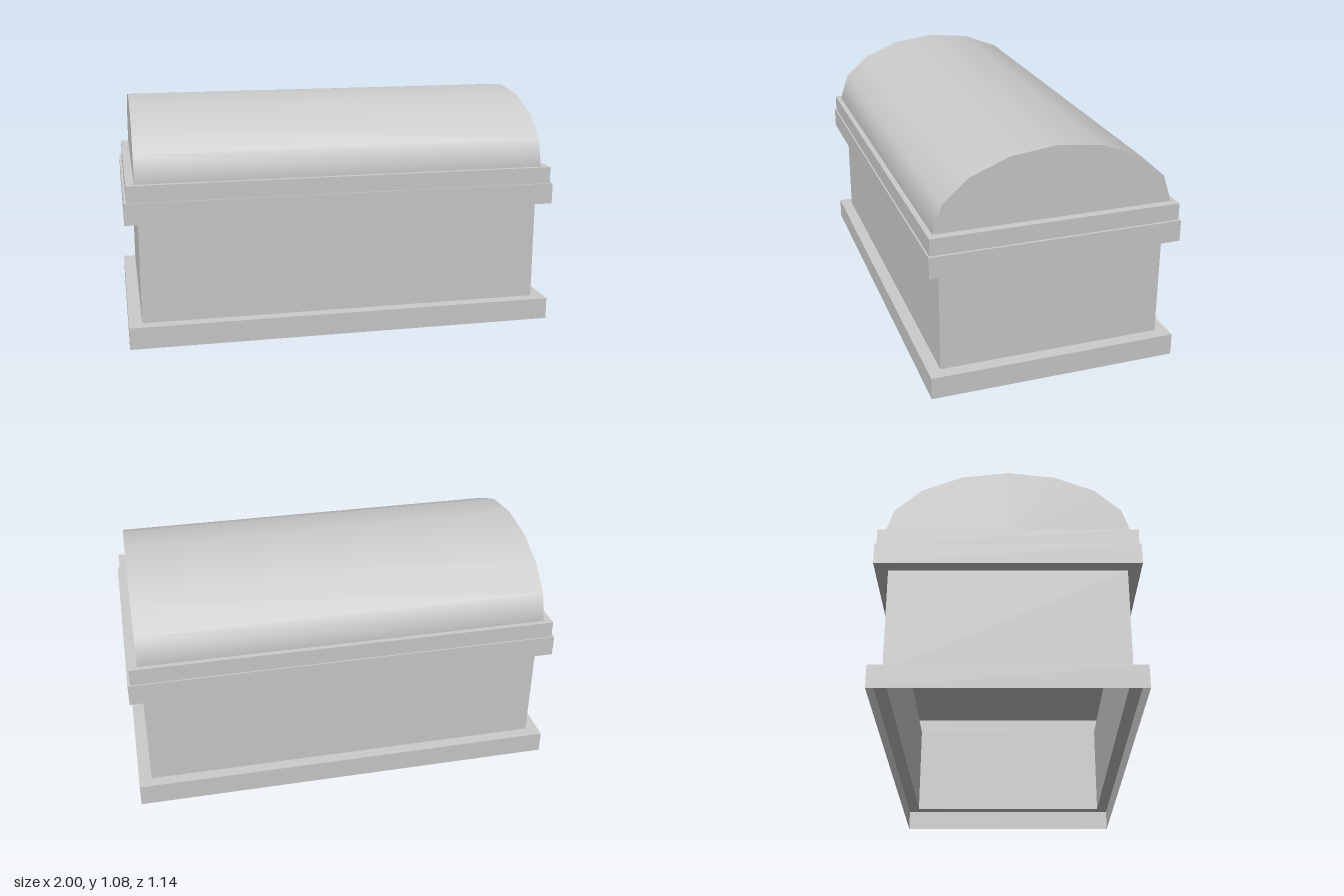
import * as THREE from 'three';

const material = new THREE.MeshStandardMaterial({ color: 0xcccccc, side: THREE.DoubleSide });

function part(name, geometry) {
  const mesh = new THREE.Mesh(geometry, material);
  mesh.name = name;
  return mesh;
}

// Open rectangular shell through rings of [half width, half depth, height], listed upward
function rectShell(rings) {
  const corners = [[1, 1], [1, -1], [-1, -1], [-1, 1]];
  const at = ([w, d, y], i) => [corners[i % 4][0] * w, y, corners[i % 4][1] * d];
  const positions = [];
  for (let r = 0; r < rings.length - 1; r++) {
    for (let i = 0; i < 4; i++) {
      const a = at(rings[r], i), b = at(rings[r], i + 1);
      const c = at(rings[r + 1], i + 1), d = at(rings[r + 1], i);
      positions.push(...a, ...b, ...c, ...a, ...c, ...d);
    }
  }
  const geometry = new THREE.BufferGeometry();
  geometry.setAttribute('position', new THREE.Float32BufferAttribute(positions, 3));
  geometry.computeVertexNormals();
  return geometry;
}

export function createModel() {
  const group = new THREE.Group();
  group.name = 'chest';

  // Plinth and walls, open underneath
  group.add(part('plinth', rectShell([[1, 0.571, 0], [1, 0.571, 0.102], [0.94, 0.514, 0.102]])));
  group.add(part('walls', rectShell([[0.94, 0.514, 0.102], [0.94, 0.514, 0.578]])));

  // Lower rim, stepping out from the walls and back in to the lid base
  group.add(part('lowerRim', rectShell([
    [0.94, 0.514, 0.578], [1, 0.571, 0.578], [1, 0.571, 0.676], [0.988, 0.564, 0.676],
  ])));

  // Closed lid base, whose underside is the ceiling of the chest
  const lidBase = new THREE.BoxGeometry(1.976, 0.077, 1.128);
  lidBase.translate(0, 0.7145, 0);
  group.add(part('lidBase', lidBase));

  // Vault: half cylinder laid along x and flattened to an ellipse
  const vault = new THREE.CylinderGeometry(1, 1, 1.9, 8, 1, false, 0, Math.PI);
  vault.rotateZ(Math.PI / 2);
  vault.scale(1, 0.324, 0.54);
  vault.translate(0, 0.753, 0);
  group.add(part('vaultedLid', vault));

  return group;
}
